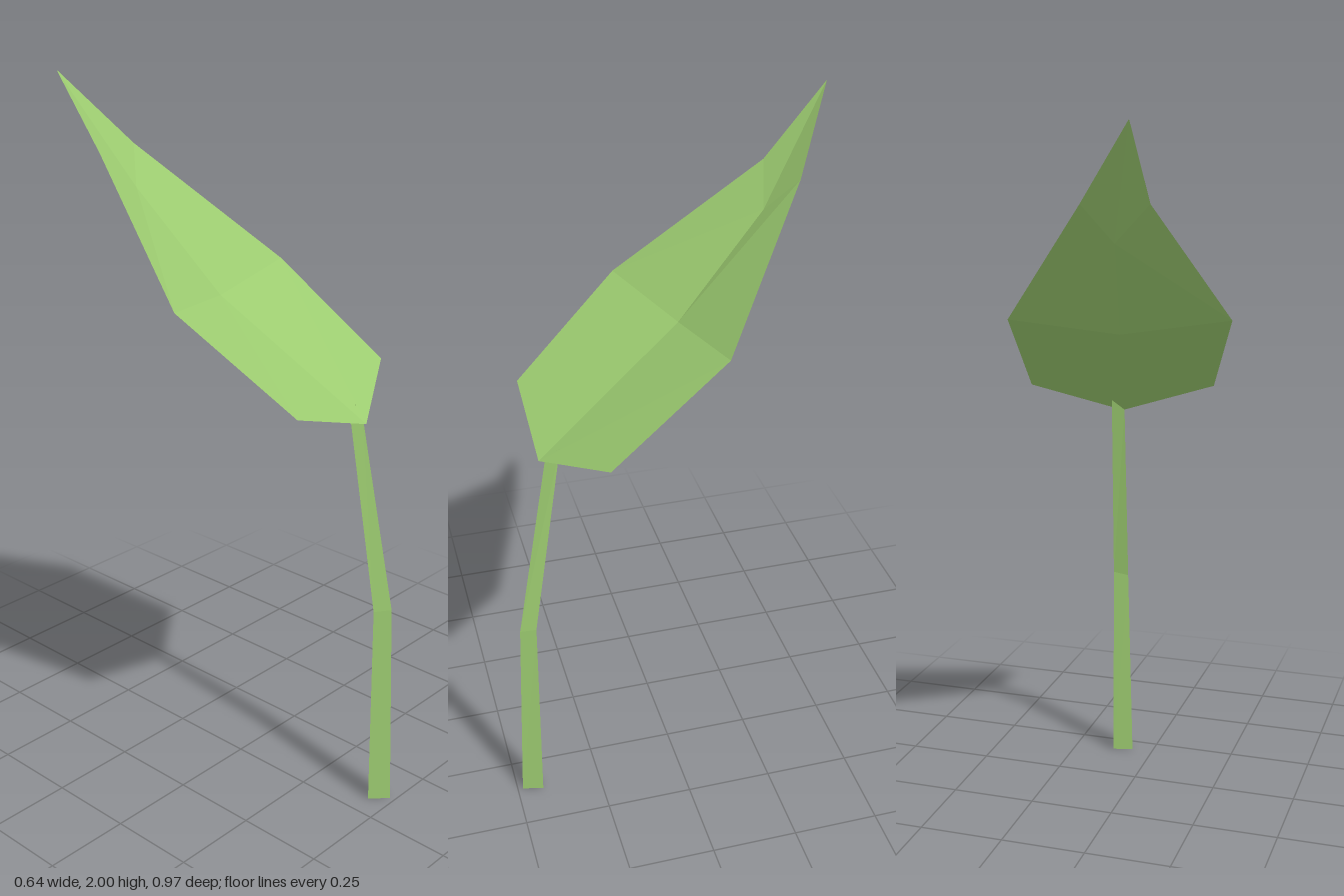
import * as THREE from 'three';

// Joins rows of points into a strip of faces; closed rows wrap round.
function loft(rows, closed) {
  const n = rows[0].length;
  const index = [];
  for (let r = 0; r < rows.length - 1; r++) {
    for (let i = 0; i < (closed ? n : n - 1); i++) {
      const j = (i + 1) % n;
      const a = r * n + i, b = r * n + j, c = a + n, d = b + n;
      index.push(a, b, d, a, d, c);
    }
  }
  const geometry = new THREE.BufferGeometry();
  geometry.setAttribute('position', new THREE.Float32BufferAttribute(rows.flat(2), 3));
  geometry.setIndex(index);
  geometry.computeVertexNormals();
  return geometry;
}

export function createModel() {
  const leafGreen = new THREE.MeshStandardMaterial({
    color: 0x9ccb70, flatShading: true, side: THREE.DoubleSide,
  });
  leafGreen.name = 'leafGreen';

  const group = new THREE.Group();
  group.name = 'leafOnStalk';
  const add = (name, geometry) => {
    const mesh = new THREE.Mesh(geometry, leafGreen);
    mesh.name = name;
    group.add(mesh);
  };

  // Leaf blade: right edge, midrib and left edge, from the base to the tip
  const base = [0.08, 1.14, 0.375];
  const tip = [-0.195, 2, -0.485];
  const right = [[-0.2, 1.23, 0.375], [-0.32, 1.47, 0.07], [-0.2, 1.8, -0.32], tip];
  const rib = [base, [-0.037, 1.435, -0.04], [-0.1, 1.7, -0.29], tip];
  const left = [[0.32, 1.23, 0.235], [0.265, 1.47, -0.09], [-0.035, 1.8, -0.365], tip];
  add('leafBlade', loft(rib.map((p, i) => [right[i], p, left[i]]), false));

  // Stalk: open three-sided tube that bends back towards the blade
  add('stalk', loft([
    [[0.065, 0, 0.44], [0.11, 0, 0.485], [0.125, 0, 0.425]],
    [[0.077, 0.6, 0.425], [0.112, 0.605, 0.46], [0.121, 0.61, 0.415]],
    [[0.063, 1.15, 0.335], [0.087, 1.15, 0.358], [0.098, 1.18, 0.32]],
  ], true));

  return group;
}
